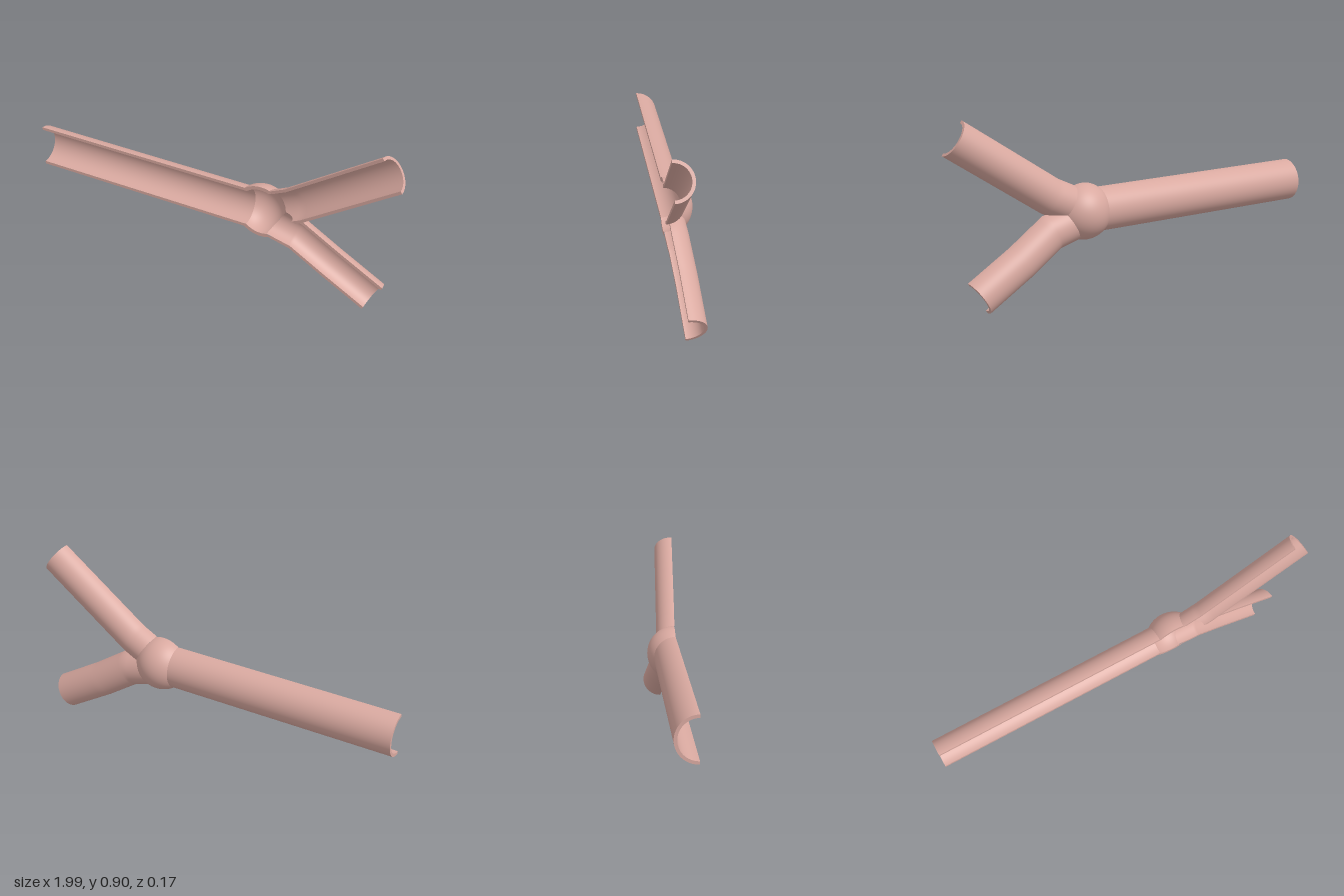
import * as THREE from 'three';

const V = (x, y, z) => new THREE.Vector3(x, y, z);
const HUB = V(0.287, 0.41, 0.05);

// Half-open shells: outer radius ro, inner radius ri, axis path (one point = ball)
const PARTS = [
  { name: 'jointBall', ro: 0.14, ri: 0.122, path: [HUB] },
  { name: 'mainPipe', ro: 0.11, ri: 0.095, path: [V(-1, 0.41, 0.05), HUB] },
  { name: 'upperBranch', ro: 0.092, ri: 0.077, path: [V(0.285, 0.418, 0.05), V(0.46, 0.503, 0.06), V(0.943, 0.83, 0.084)] },
  { name: 'lowerBranch', ro: 0.092, ri: 0.077,
    path: [V(0.285, 0.383, 0.05), V(0.475, 0.332, 0.042), V(0.65, 0.217, 0.026), V(0.875, 0.084, 0.014)] },
];
const SIDES = 40;

// Distance from a point to a part's axis
function axisDistance(part, p) {
  const { path } = part;
  if (path.length === 1) return p.distanceTo(path[0]);
  let best = Infinity;
  const q = V(0, 0, 0);
  for (let i = 0; i + 1 < path.length; i++) {
    new THREE.Line3(path[i], path[i + 1]).closestPointToPoint(p, true, q);
    best = Math.min(best, q.distanceTo(p));
  }
  return best;
}

// Cross-section frames along a part: centre, side, back, tangent, radius scale
function makeFrames(part) {
  const { path } = part, frames = [];
  if (path.length === 1) {
    for (let i = 0; i <= SIDES; i++) {
      const a = Math.PI * (1 - i / SIDES);
      frames.push({ c: path[0], t: V(1, 0, 0), s: V(0, 1, 0), b: V(0, 0, -1), along: Math.cos(a), scale: Math.sin(a), miter: 1 });
    }
    return frames;
  }
  const dirs = path.slice(1).map((p, i) => p.clone().sub(path[i]).normalize());
  const add = (c, t, miter) => {
    const s = V(-t.y, t.x, 0).normalize();
    frames.push({ c, t, s, b: s.clone().cross(t), along: 0, scale: 1, miter });
  };
  dirs.forEach((d, i) => {
    const steps = Math.ceil(path[i].distanceTo(path[i + 1]) / 0.02);
    for (let k = 0; k < steps; k++) {
      const bend = k === 0 && i > 0;
      const t = bend ? d.clone().add(dirs[i - 1]).normalize() : d;
      add(path[i].clone().lerp(path[i + 1], k / steps), t, bend ? 1 / t.dot(d) : 1);
    }
  });
  add(path[path.length - 1], dirs[dirs.length - 1], 1);
  return frames;
}

// Point and outward normal on a frame's half ring
function ringPoint(f, angle, r) {
  const n = f.s.clone().multiplyScalar(Math.cos(angle) * f.scale)
    .addScaledVector(f.b, Math.sin(angle) * f.scale)
    .addScaledVector(f.t, f.along);
  const p = f.c.clone().addScaledVector(n, r);
  p.addScaledVector(f.s, Math.cos(angle) * f.scale * r * (f.miter - 1));
  return { p, n: n.normalize() };
}

// Keep the part of a polygon where fn is positive
function clip(poly, fn) {
  const out = [], val = poly.map(v => fn(v.p));
  poly.forEach((a, i) => {
    const j = (i + 1) % poly.length, b = poly[j];
    if (val[i] >= 0) out.push(a);
    if ((val[i] >= 0) !== (val[j] >= 0)) {
      const k = val[i] / (val[i] - val[j]);
      out.push({ p: a.p.clone().lerp(b.p, k), n: a.n.clone().lerp(b.n, k).normalize() });
    }
  });
  return out;
}

function buildPart(index) {
  const part = PARTS[index], frames = makeFrames(part);
  const pos = [], nor = [];

  const addTriangle = (tri, cuts) => {
    let poly = tri;
    for (const cut of cuts) {
      poly = clip(poly, cut);
      if (poly.length < 3) return;
    }
    for (let i = 1; i + 1 < poly.length; i++) {
      let t = [poly[0], poly[i], poly[i + 1]];
      const g = t[1].p.clone().sub(t[0].p).cross(t[2].p.clone().sub(t[0].p));
      if (g.lengthSq() < 1e-18) continue;
      if (g.dot(t[0].n.clone().add(t[1].n).add(t[2].n)) < 0) t = [t[0], t[2], t[1]];
      t.forEach(v => { pos.push(v.p.x, v.p.y, v.p.z); nor.push(v.n.x, v.n.y, v.n.z); });
    }
  };
  const addQuad = (a, b, c, d, cuts) => {
    addTriangle([a, b, c], cuts);
    addTriangle([a, c, d], cuts);
  };

  const others = PARTS.filter(o => o !== part);
  const outerCuts = others.map(o => p => axisDistance(o, p) - o.ro);
  const innerCuts = others.map(o => p => axisDistance(o, p) - o.ri);
  const rimCuts = others.map(o => p => axisDistance(o, p) - (PARTS.indexOf(o) < index ? o.ro : o.ri));
  const flip = v => ({ p: v.p, n: v.n.clone().negate() });
  const withNormal = (v, n) => ({ p: v.p, n });

  for (let i = 0; i + 1 < frames.length; i++) {
    const f = frames[i], g = frames[i + 1];
    // Outer wall and hollow
    for (let k = 0; k < SIDES; k++) {
      const a = Math.PI * k / SIDES, b = Math.PI * (k + 1) / SIDES;
      const quad = r => [ringPoint(f, a, r), ringPoint(g, a, r), ringPoint(g, b, r), ringPoint(f, b, r)];
      addQuad(...quad(part.ro), outerCuts);
      addQuad(...quad(part.ri).map(flip), innerCuts);
    }
    // Flat rims along the open front
    for (const a of [0, Math.PI]) {
      const n = f.b.clone().negate();
      addQuad(...[ringPoint(f, a, part.ri), ringPoint(g, a, part.ri), ringPoint(g, a, part.ro), ringPoint(f, a, part.ro)]
        .map(v => withNormal(v, n)), rimCuts);
    }
  }

  // Ring-shaped pipe ends
  if (part.path.length > 1) {
    for (const [f, sign] of [[frames[0], -1], [frames[frames.length - 1], 1]]) {
      if (f.c.distanceTo(HUB) < 0.1) continue;
      const n = f.t.clone().multiplyScalar(sign);
      for (let k = 0; k < SIDES; k++) {
        const a = Math.PI * k / SIDES, b = Math.PI * (k + 1) / SIDES;
        addQuad(...[ringPoint(f, a, part.ri), ringPoint(f, a, part.ro), ringPoint(f, b, part.ro), ringPoint(f, b, part.ri)]
          .map(v => withNormal(v, n)), []);
      }
    }
  }

  const geometry = new THREE.BufferGeometry();
  geometry.setAttribute('position', new THREE.Float32BufferAttribute(pos, 3));
  geometry.setAttribute('normal', new THREE.Float32BufferAttribute(nor, 3));
  return geometry;
}

export function createModel() {
  const group = new THREE.Group();
  group.name = 'branchingPipe';
  const material = new THREE.MeshStandardMaterial({ color: 0xd9a9a0 });
  PARTS.forEach((part, i) => {
    const mesh = new THREE.Mesh(buildPart(i), material);
    mesh.name = part.name;
    group.add(mesh);
  });
  return group;
}
